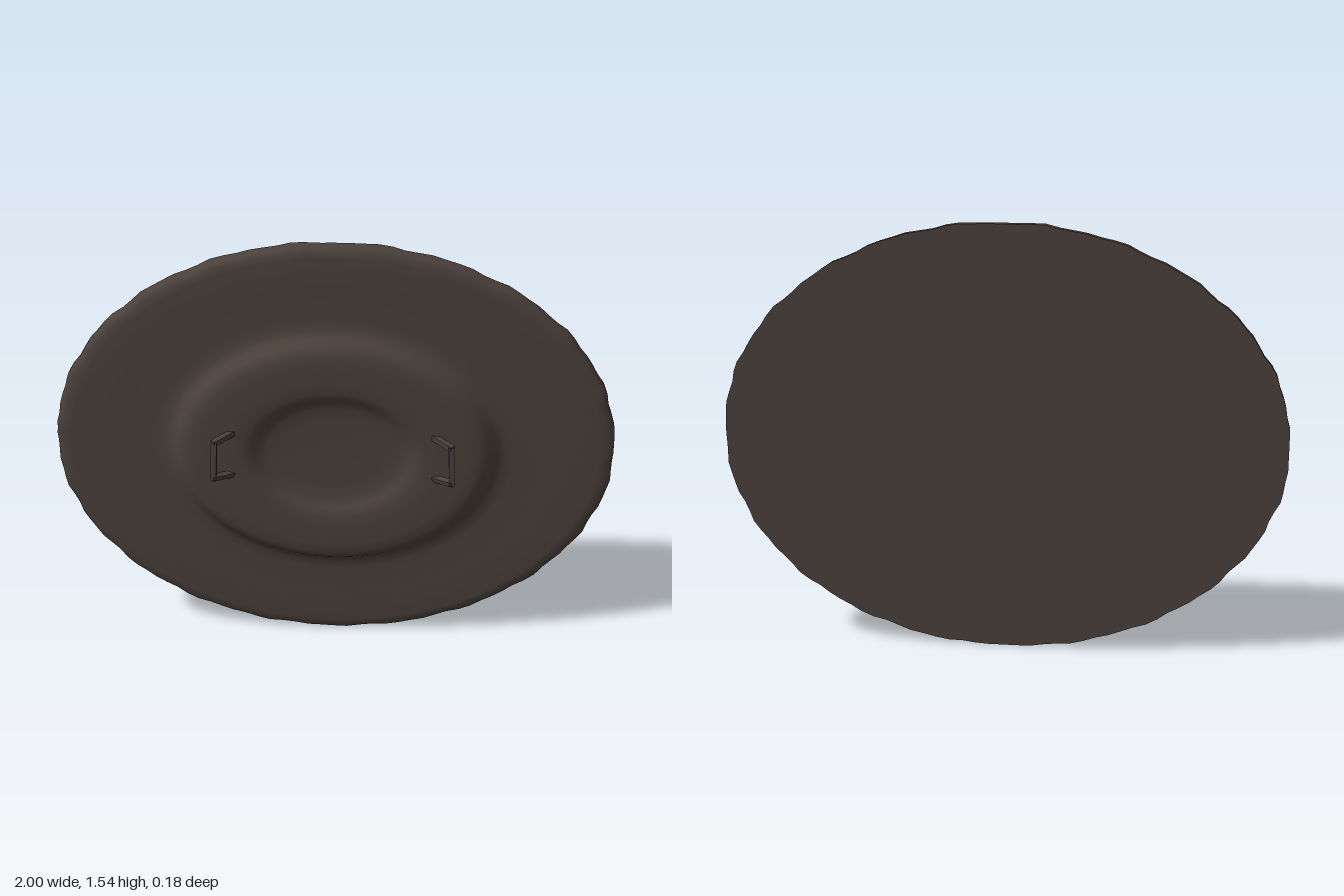
import * as THREE from 'three';
import { toCreasedNormals } from 'three/addons/utils/BufferGeometryUtils.js';

const HALF_HEIGHT = 0.77;

// Square-section bar between two points
function bar(a, b, size, material) {
  const dir = b.clone().sub(a);
  const mesh = new THREE.Mesh(new THREE.BoxGeometry(size, size, dir.length() + size * 0.6), material);
  mesh.position.copy(a).add(b).multiplyScalar(0.5);
  mesh.quaternion.setFromUnitVectors(new THREE.Vector3(0, 0, 1), dir.normalize());
  return mesh;
}

export function createModel() {
  const group = new THREE.Group();
  const darkBrown = new THREE.MeshStandardMaterial({ color: 0x4b413b });
  darkBrown.name = 'darkBrown';

  // Oval plate with raised boss and shallow dish: radius, depth
  const profile = [
    [0, -0.086], [0.5, -0.086], [1.004, -0.086], [1.004, -0.055], [0.996, -0.042],
    [0.98, -0.034], [0.95, -0.031], [0.8, -0.03], [0.65, -0.03], [0.61, -0.027],
    [0.59, -0.02], [0.572, -0.006], [0.555, 0.011], [0.538, 0.022], [0.515, 0.028],
    [0.47, 0.031], [0.38, 0.031], [0.325, 0.029], [0.3, 0.024], [0.28, 0.014],
    [0.26, 0.005], [0.235, 0], [0.18, -0.003], [0, -0.003],
  ].map(([r, z]) => new THREE.Vector2(r, z));
  const plateShape = new THREE.LatheGeometry(profile, 128);
  plateShape.rotateX(Math.PI / 2);
  plateShape.scale(1, HALF_HEIGHT, 1);

  // Slightly worn rim, flattened at its four extremes
  const pos = plateShape.attributes.position;
  for (let i = 0; i < pos.count; i++) {
    const x = pos.getX(i), y = pos.getY(i);
    const r = Math.hypot(x, y / HALF_HEIGHT);
    if (r < 0.97) continue;
    const a = Math.atan2(y / HALF_HEIGHT, x);
    const wear = 1 + 0.003 * Math.sin(a * 23) + 0.003 * Math.sin(a * 41 + 1);
    pos.setXY(i, THREE.MathUtils.clamp(x * wear, -1, 1),
      THREE.MathUtils.clamp(y * wear, -HALF_HEIGHT, HALF_HEIGHT));
  }
  const plate = new THREE.Mesh(toCreasedNormals(plateShape, 0.9), darkBrown);
  plate.name = 'ovalPlate';
  plate.position.y = HALF_HEIGHT;
  group.add(plate);

  // Pair of handles leaning outward
  for (const side of [1, -1]) {
    const handle = new THREE.Group();
    handle.name = side > 0 ? 'leftHandle' : 'rightHandle';
    const path = [[0.355, 0.857, 0.022], [0.418, 0.843, 0.078], [0.424, 0.702, 0.078], [0.36, 0.69, 0.022]]
      .map(([x, y, z]) => new THREE.Vector3(side * x, y, z));
    for (let i = 0; i < 3; i++) handle.add(bar(path[i], path[i + 1], 0.02, darkBrown));
    group.add(handle);
  }
  return group;
}
